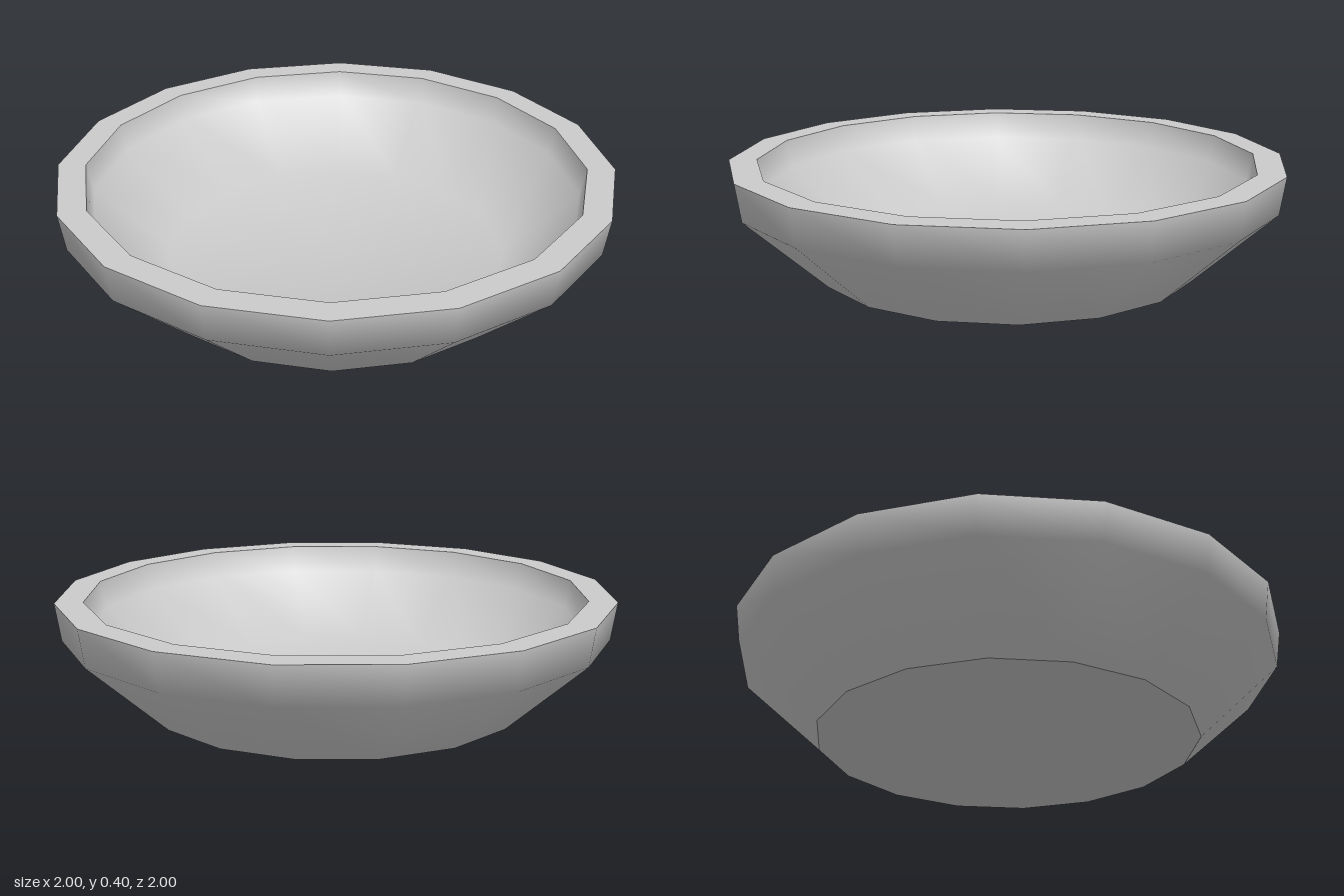
import * as THREE from 'three';

const SIDES = 16;

// Each profile is [radius, height]; separate lathes keep the edges between them sharp.
const PROFILES = {
  base: [[0, 0], [0.69, 0]],
  outerWall: [[0.69, 0], [0.98, 0.265], [1, 0.4]],
  rim: [[1, 0.4], [0.9, 0.4]],
  innerBowl: [[0.9, 0.4], [0.88, 0.3], [0.62, 0.07], [0, 0.07]],
};

export function createModel() {
  const bowl = new THREE.Group();
  bowl.name = 'bowl';
  const material = new THREE.MeshStandardMaterial({ color: 0xcccccc });

  // Profiles run from the underside, up the outside, over the rim and down inside
  for (const [name, profile] of Object.entries(PROFILES)) {
    const points = profile.map(([r, y]) => new THREE.Vector2(r, y));
    const mesh = new THREE.Mesh(new THREE.LatheGeometry(points, SIDES), material);
    mesh.name = name;
    bowl.add(mesh);
  }
  return bowl;
}
